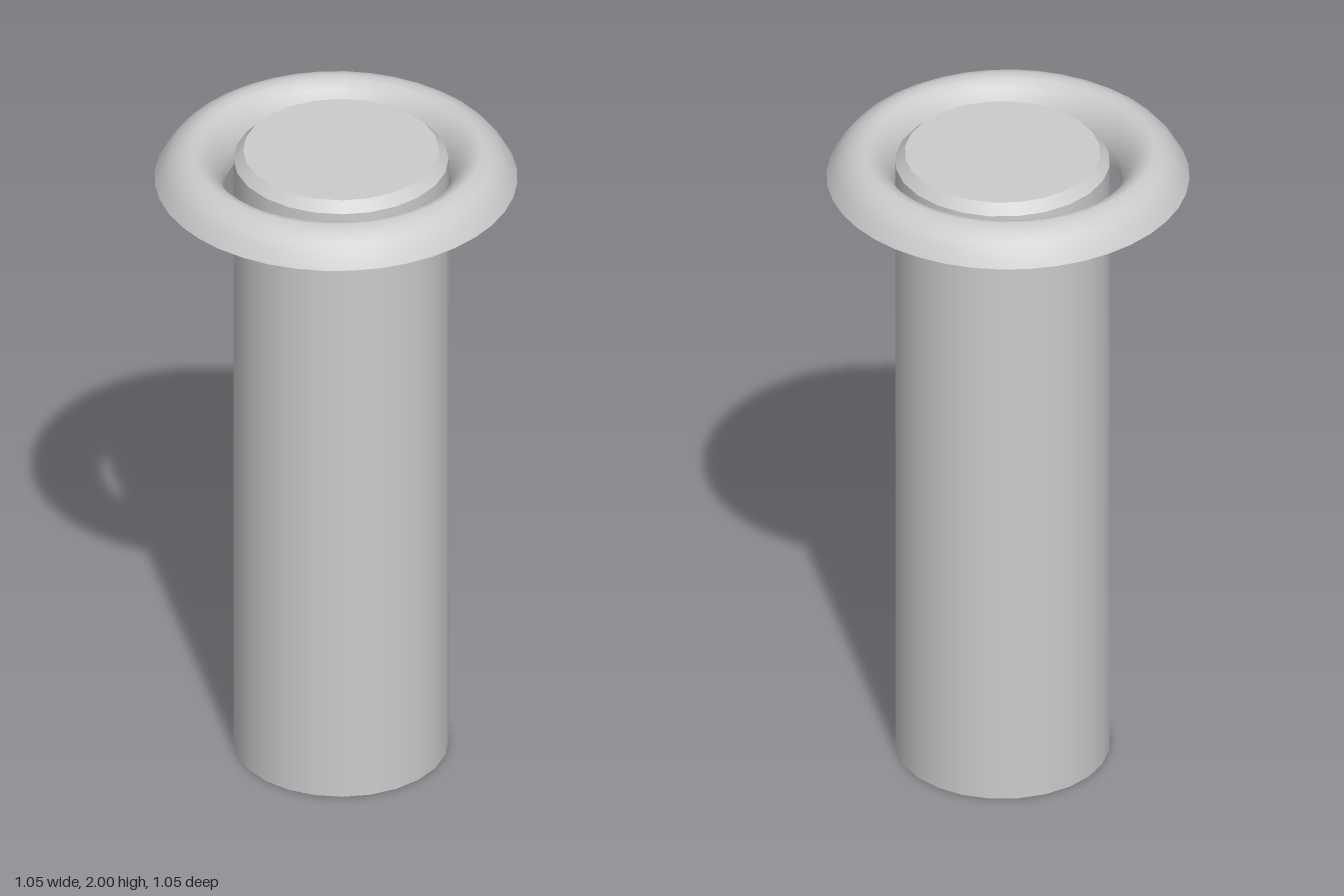
import * as THREE from 'three';

const material = new THREE.MeshStandardMaterial({ color: 0xcccccc, side: THREE.DoubleSide });

// Revolves a list of [radius, height] points around the y axis
function lathe(name, points, segments) {
  const profile = points.map(([r, y]) => new THREE.Vector2(r, y));
  const mesh = new THREE.Mesh(new THREE.LatheGeometry(profile, segments), material);
  mesh.name = name;
  return mesh;
}

export function createModel() {
  const model = new THREE.Group();
  model.name = 'sleeveAndFlange';

  // Hollow sleeve, open at the bottom, slightly off centre in the flange
  const sides = 24, radius = 0.31, capRadius = 0.282;
  const shoulder = 1.96, top = 1.99;
  const sleeve = new THREE.Group();
  sleeve.name = 'sleeve';
  sleeve.add(
    lathe('sleeveWall', [[radius, 0], [radius, shoulder]], sides),
    lathe('sleeveBevel', [[radius, shoulder], [capRadius, top]], sides),
    lathe('sleeveCap', [[capRadius, top], [0, top]], sides)
  );
  sleeve.position.set(0.018, 0, -0.005);
  sleeve.rotation.y = Math.PI / sides;
  model.add(sleeve);

  // Thin rolled flange: sloping outer skirt, rounded crown, inner lip
  model.add(lathe('flange', [
    [0.523, 1.905], [0.502, 1.942], [0.479, 1.969], [0.452, 1.988], [0.42, 2],
    [0.395, 1.993], [0.37, 1.975], [0.347, 1.945], [0.332, 1.91],
    [0.327, 1.885], [0.327, 1.86]
  ], 40));

  return model;
}
